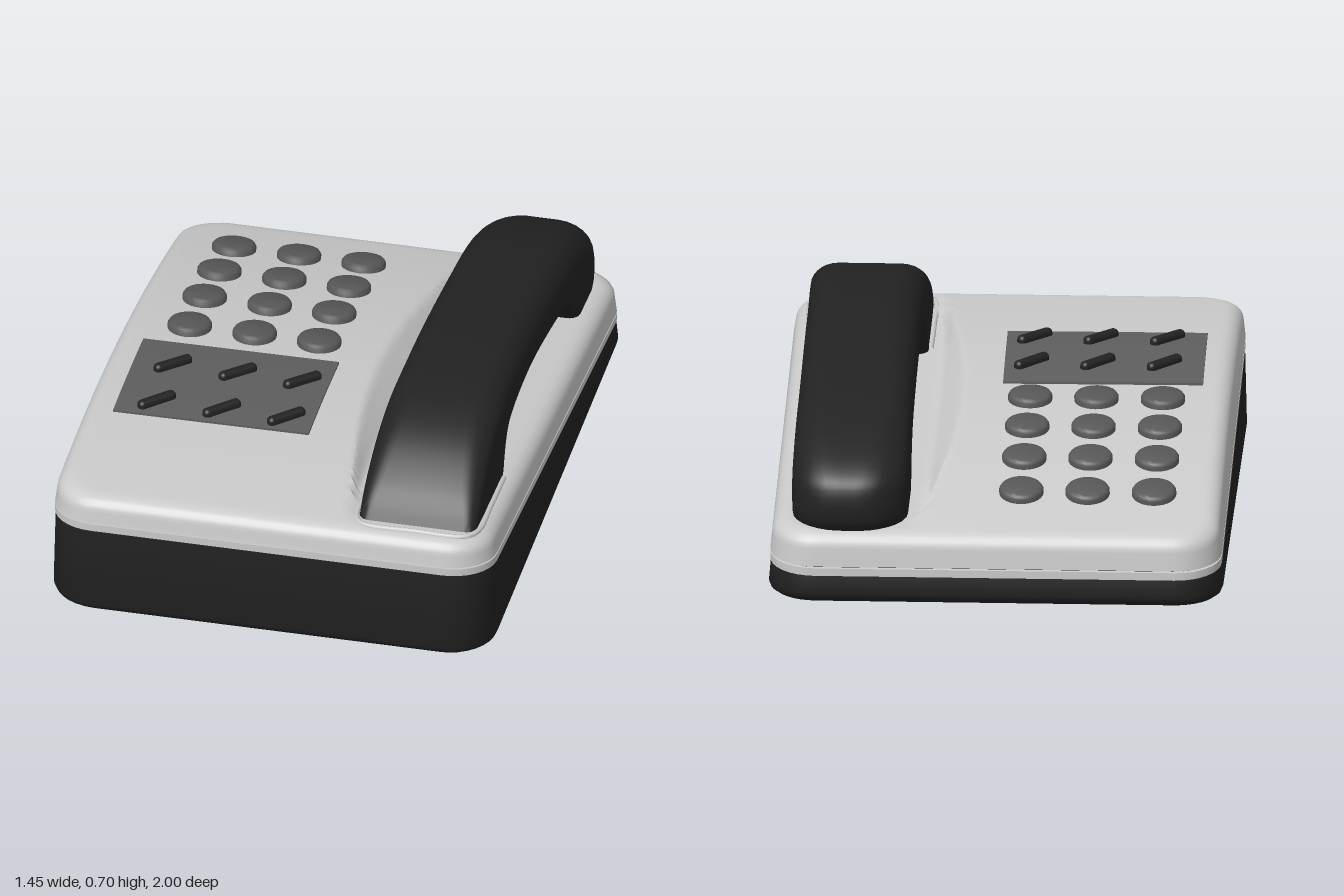
import * as THREE from 'three';
import { toCreasedNormals } from 'three/addons/utils/BufferGeometryUtils.js';
import { RoundedBoxGeometry } from 'three/addons/geometries/RoundedBoxGeometry.js';

const WIDTH = 0.727, LENGTH = 1; // half sizes of the body

// Rounded rectangle as [x, z] points, with separate corner radii at +z and -z
function roundedRing(hw, hl, rPlus, rMinus, arc = 8, straight = 1) {
  const corners = [[1, 1, rPlus], [-1, 1, rPlus], [-1, -1, rMinus], [1, -1, rMinus]];
  const arcs = corners.map(([sx, sz, r], k) => {
    const pts = [];
    for (let i = 0; i <= arc; i++) {
      const a = (k + i / arc) * Math.PI / 2;
      pts.push([sx * (hw - r) + r * Math.cos(a), sz * (hl - r) + r * Math.sin(a)]);
    }
    return pts;
  });
  const ring = [];
  arcs.forEach((pts, k) => {
    ring.push(...pts);
    const a = pts[arc], b = arcs[(k + 1) % 4][0];
    for (let i = 1; i < straight; i++) {
      const t = i / straight;
      ring.push([a[0] + (b[0] - a[0]) * t, a[1] + (b[1] - a[1]) * t]);
    }
  });
  return ring;
}

// Skin over a list of closed rings of [x, y, z] points
function loft(rings, crease = 0.9) {
  const n = rings[0].length, index = [];
  for (let j = 0; j < rings.length - 1; j++) {
    for (let i = 0; i < n; i++) {
      const a = j * n + i, b = j * n + (i + 1) % n, c = a + n, d = b + n;
      index.push(a, c, b, b, c, d);
    }
  }
  const geo = new THREE.BufferGeometry();
  geo.setAttribute('position', new THREE.Float32BufferAttribute(rings.flat(2), 3));
  geo.setIndex(index);
  return toCreasedNormals(geo, crease);
}

// Heights: sloping seam, and sloping deck with a domed keypad side
const seam = z => 0.23 + 0.11 * z;
function deck(x, z) {
  const outer = 0.14 + 0.13 * ((z + 0.03) / 0.94) ** 2;
  const inner = Math.max(0.23, outer + 0.015);
  const raised = 1 - THREE.MathUtils.clamp((x - outer) / (inner - outer), 0, 1);
  return 0.36 + 0.1 * z + Math.max(0, 0.085 - 0.094 * z * z) * raised;
}

// One body ring: inset from the outline, drawn toward the middle by t
function bodyRing(inset, height, t = 0) {
  return roundedRing(WIDTH - inset, LENGTH - inset, 0.15 - inset * 0.7, 0.15 - inset * 0.7, 8, 32)
    .map(([x, z]) => {
      const px = x * (1 - t), pz = z * (1 - 0.65 * t);
      return [px, height(px, pz), pz];
    });
}

export function createModel() {
  const model = new THREE.Group();
  const paint = (name, color) => {
    const m = new THREE.MeshStandardMaterial({ color });
    m.name = name;
    return m;
  };
  const black = paint('black plastic', 0x222222);
  const light = paint('light grey plastic', 0xcacaca);
  const keyGrey = paint('key grey', 0x575757);
  const panelGrey = paint('panel grey', 0x5e5e5e);
  const add = (name, geo, mat, parent = model) => {
    const mesh = new THREE.Mesh(geo, mat);
    mesh.name = name;
    parent.add(mesh);
    return mesh;
  };

  // Wedge base with a softened bottom edge
  add('base', loft([
    bodyRing(0.05, () => 0.028, 1),
    bodyRing(0.05, () => 0.028),
    bodyRing(0.025, () => 0.034),
    bodyRing(0.007, () => 0.048),
    bodyRing(0, () => 0.065),
    bodyRing(0.006, (x, z) => seam(z)),
    bodyRing(0.03, (x, z) => seam(z)),
  ]), black);

  // Dark core showing in the groove between trim and cover
  add('seamGroove', loft([
    bodyRing(0.016, (x, z) => seam(z)),
    bodyRing(0.016, (x, z) => seam(z) + 0.045),
  ]), black);

  // Light trim band under the cover
  add('trimBand', loft([
    bodyRing(0.025, (x, z) => seam(z) + 0.003),
    bodyRing(0.004, (x, z) => seam(z) + 0.003),
    bodyRing(0.004, (x, z) => seam(z) + 0.028),
    bodyRing(0.025, (x, z) => seam(z) + 0.028),
  ]), light);

  // Cover: wall, rolled edge, then the deck closing to the middle
  const cover = [
    bodyRing(0.025, (x, z) => seam(z) + 0.034),
    bodyRing(0.004, (x, z) => seam(z) + 0.034),
  ];
  for (let i = 0; i <= 6; i++) {
    const a = i / 6 * Math.PI / 2;
    cover.push(bodyRing(0.01 + 0.055 * (1 - Math.cos(a)),
      (x, z) => deck(x, z) - 0.05 * (1 - Math.sin(a))));
  }
  for (let i = 1; i <= 44; i++) cover.push(bodyRing(0.065, deck, i / 44));
  add('cover', loft(cover), light);

  // Lip around the front end of the handset cradle
  const lip = [[0.27, 0.5], [0.268, 0.7], [0.27, 0.88], [0.3, 0.925], [0.47, 0.93],
    [0.63, 0.925], [0.665, 0.88], [0.668, 0.7], [0.665, 0.5]]
    .map(([x, z]) => new THREE.Vector3(x, 0.36 + 0.1 * z, z));
  add('cradleLip', new THREE.TubeGeometry(new THREE.CatmullRomCurve3(lip), 48, 0.009, 8), light);

  // Handset: outer edge [z, y, corner radius] paired with inner edge [z, y, half width]
  const outer = [[0.9, 0.44, 0.035], [0.86, 0.495, 0.045], [0.81, 0.547, 0.06], [0.68, 0.633, 0.08],
    [0.52, 0.686, 0.09], [0.357, 0.702, 0.09], [0.15, 0.697, 0.09], [-0.02, 0.68, 0.09],
    [-0.34, 0.633, 0.09], [-0.61, 0.58, 0.1], [-0.82, 0.51, 0.12], [-0.94, 0.445, 0.14],
    [-0.973, 0.4, 0.15], [-0.973, 0.295, 0.15], [-0.94, 0.247, 0.15]];
  const inner = [[0.464, 0.402, 0.192], [0.45, 0.42, 0.192], [0.435, 0.445, 0.191], [0.4, 0.485, 0.188],
    [0.357, 0.515, 0.186], [0.28, 0.523, 0.184], [0.14, 0.525, 0.183], [-0.02, 0.515, 0.183],
    [-0.29, 0.466, 0.183], [-0.45, 0.43, 0.184], [-0.53, 0.386, 0.185], [-0.57, 0.345, 0.186],
    [-0.59, 0.32, 0.186], [-0.615, 0.29, 0.185], [-0.625, 0.28, 0.183]];
  const toCurve = list => new THREE.CatmullRomCurve3(list.map(([z, y, v]) => new THREE.Vector3(v, y, z)));
  const outerCurve = toCurve(outer), innerCurve = toCurve(inner);
  const sections = [];
  for (let i = 0; i <= 56; i++) {
    const o = outerCurve.getPoint(i / 56), n = innerCurve.getPoint(i / 56);
    const half = Math.hypot(o.y - n.y, o.z - n.z) / 2;
    sections.push(roundedRing(n.x, half, o.x, 0.035, 7, 4).map(([u, v]) => {
      const t = (v + half) / (2 * half);
      return [0.468 + u, n.y + (o.y - n.y) * t, n.z + (o.z - n.z) * t];
    }));
  }
  const cap = ring => {
    const c = [0, 1, 2].map(k => ring.reduce((s, p) => s + p[k], 0) / ring.length);
    return ring.map(() => c);
  };
  add('handset', loft([cap(sections[0]), ...sections, cap(sections[sections.length - 1])]), black);

  // Holder that sits on the deck and follows its slope
  const onDeck = (name, x, z) => {
    const g = new THREE.Group();
    g.name = name;
    g.position.set(x, deck(x, z), z);
    g.rotation.x = -Math.atan((deck(x, z + 0.01) - deck(x, z - 0.01)) / 0.02);
    model.add(g);
    return g;
  };

  // Round dialling keys
  const keyProfile = [[0.071, -0.01], [0.071, 0.014], [0.066, 0.022], [0.056, 0.026], [0, 0.027]]
    .map(([r, y]) => new THREE.Vector2(r, y));
  const keyGeo = toCreasedNormals(new THREE.LatheGeometry(keyProfile, 28), 0.8);
  const columns = [-0.5, -0.287, -0.075];
  for (const z of [-0.72, -0.51, -0.3, -0.087])
    for (const x of columns) add('key', keyGeo, keyGrey, onDeck('keyHolder', x, z));

  // Button panel, a thin plate bent over the deck
  const panelGeo = new THREE.BoxGeometry(0.64, 0.008, 0.458, 4, 1, 12);
  panelGeo.rotateY(0.012);
  panelGeo.translate(-0.3, 0.003, 0.265);
  const p = panelGeo.attributes.position;
  for (let i = 0; i < p.count; i++) p.setY(i, p.getY(i) + deck(p.getX(i), p.getZ(i)));
  panelGeo.computeVertexNormals();
  add('buttonPanel', panelGeo, panelGrey);

  // Slanted bar buttons
  const barGeo = new RoundedBoxGeometry(0.138, 0.045, 0.034, 3, 0.015);
  for (const z of [0.19, 0.42]) {
    for (const x of columns) {
      const bar = add('barButton', barGeo, black, onDeck('barButtonHolder', x + 0.008, z));
      bar.position.y = 0.008;
      bar.rotation.y = Math.PI / 4;
    }
  }

  // Feet
  const footGeo = new THREE.CylinderGeometry(0.068, 0.055, 0.034, 24);
  for (const x of [-0.52, 0.52])
    for (const z of [0.78, -0.71]) add('foot', footGeo, black).position.set(x, 0.017, z);

  return model;
}
